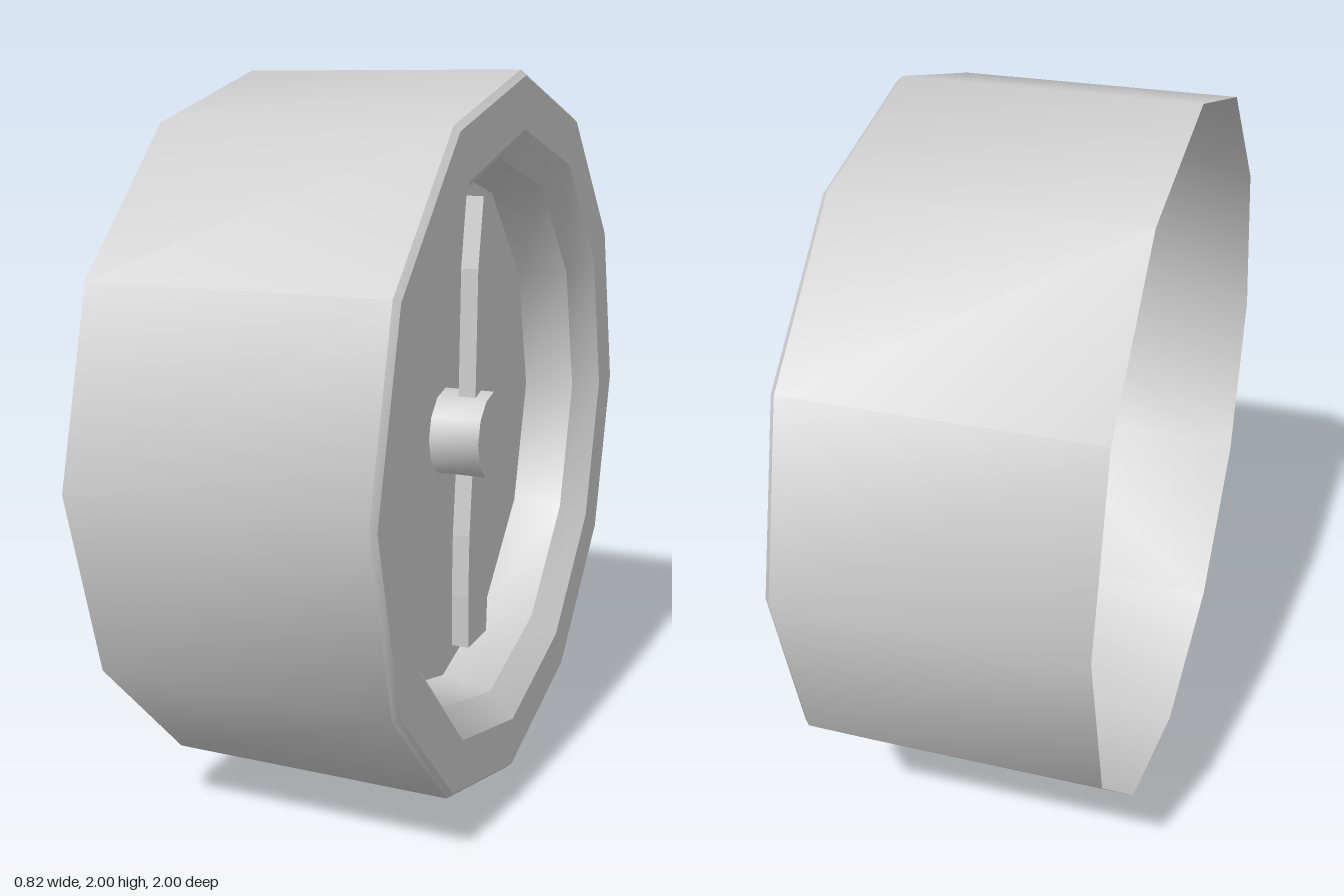
import * as THREE from 'three';
import { toCreasedNormals } from 'three/addons/utils/BufferGeometryUtils.js';

const material = new THREE.MeshStandardMaterial({ color: 0xcccccc, side: THREE.DoubleSide });

// Twelve-sided turned part about the x axis, from [radius, x] pairs
function turned(name, profile) {
  const points = profile.map(([r, x]) => new THREE.Vector2(r, x));
  const geometry = new THREE.LatheGeometry(points, 12).rotateZ(-Math.PI / 2);
  const mesh = new THREE.Mesh(toCreasedNormals(geometry, 0.6), material);
  mesh.name = name;
  return mesh;
}

// Flat hand, symmetric about its length, from [halfWidth, height] pairs
function hand(name, side) {
  const mirrored = side.slice().reverse().map(([w, y]) => [-w, y]);
  const shape = new THREE.Shape([...side, ...mirrored].map(([w, y]) => new THREE.Vector2(w, y)));
  const geometry = new THREE.ExtrudeGeometry(shape, { depth: 0.05, bevelEnabled: false });
  geometry.rotateY(Math.PI / 2).translate(0.247, 0, 0);
  const mesh = new THREE.Mesh(geometry, material);
  mesh.name = name;
  return mesh;
}

export function createModel() {
  const group = new THREE.Group();
  group.name = 'gauge';

  // Housing open at the back, with a chamfered front rim and stepped recess
  group.add(turned('housing', [
    [1, -0.41], [1, 0.395], [0.985, 0.41], [0.845, 0.41], [0.77, 0.34], [0.745, 0.19],
  ]));

  // Dial plate with a central opening behind the hub
  group.add(turned('dialPlate', [[0.745, 0.19], [0.125, 0.19]]));

  // Hub, closed at the front only
  group.add(turned('hub', [[0.125, 0.19], [0.125, 0.335], [0, 0.335]]));

  // Pointed hand above the hub, blunt counterweight below
  group.add(hand('pointer', [[0.046, 0.11], [0.038, 0.47], [0.003, 0.665]]));
  group.add(hand('counterweight', [[0.075, -0.615], [0.083, -0.46], [0.08, -0.28], [0.062, -0.1]]));

  // Stand the housing on the ground
  for (const part of group.children) part.position.y = 1;
  return group;
}
